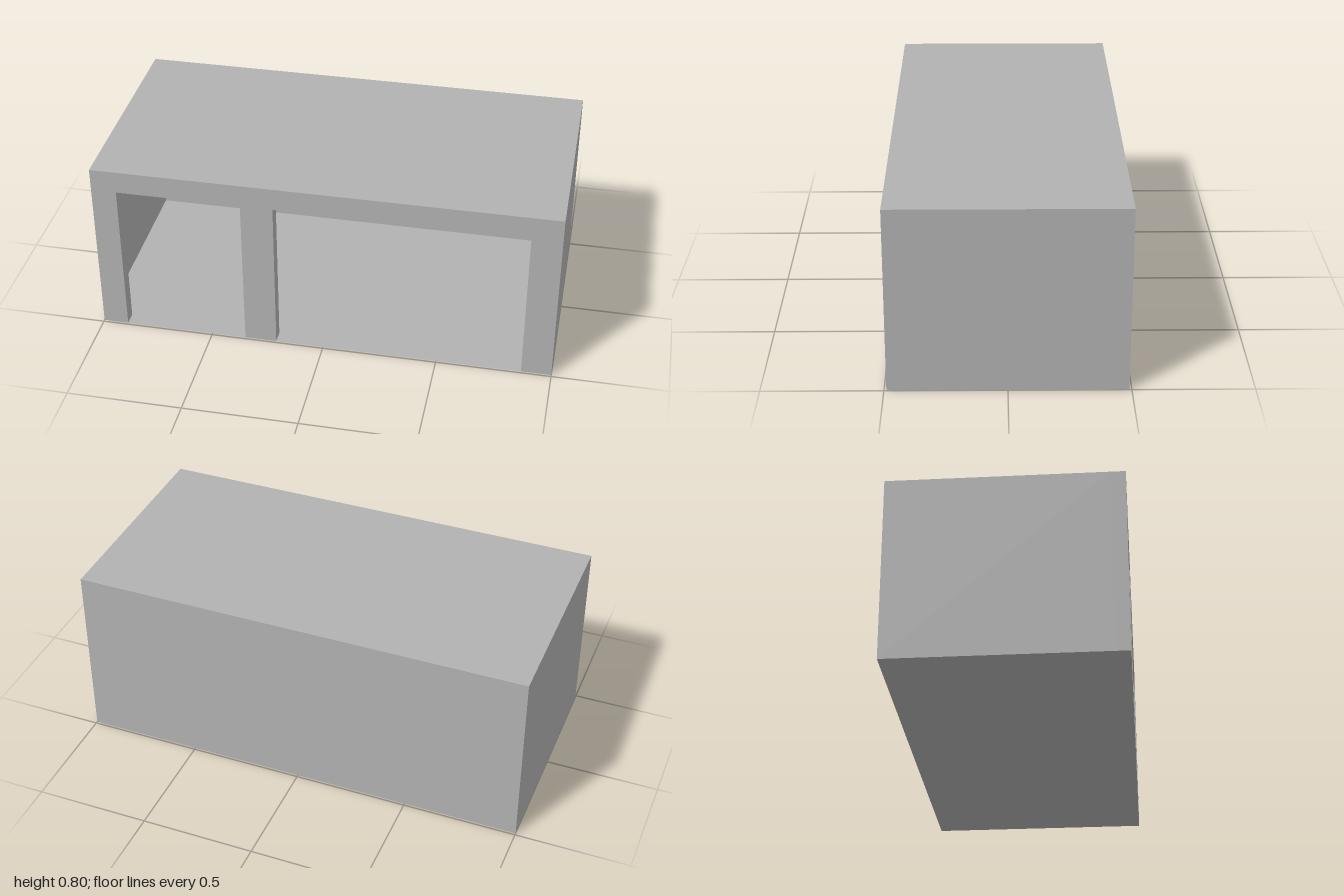
import * as THREE from 'three';

const H = 0.8, Z = 0.49, FRONT = 0.06; // height, half depth, front wall thickness

export function createModel() {
  const model = new THREE.Group();
  model.name = 'garage';
  const grey = new THREE.MeshStandardMaterial({ color: 0xb2b2b2, side: THREE.DoubleSide });
  grey.name = 'concrete grey';

  // Thin flat panel, turned and placed
  const panel = (name, w, h, rotation, position) => {
    const mesh = new THREE.Mesh(new THREE.PlaneGeometry(w, h), grey);
    mesh.name = name;
    mesh.rotation.set(...rotation);
    mesh.position.set(...position);
    model.add(mesh);
  };

  // Shell: floor, back and the parts that run up to the front wall
  const depth = 2 * Z - FRONT, q = Math.PI / 2;
  panel('floor', 2, 2 * Z, [q, 0, 0], [0, 0, 0]);
  panel('roof', 2, depth, [-q, 0, 0], [0, H, -FRONT / 2]);
  panel('backWall', 2, H, [0, Math.PI, 0], [0, H / 2, -Z]);
  panel('leftWall', depth, H, [0, q, 0], [1, H / 2, -FRONT / 2]);
  panel('rightWall', depth, H, [0, -q, 0], [-1, H / 2, -FRONT / 2]);

  // Front wall: one outline that steps around both door openings
  const outline = [[-1, 0]];
  for (const [x0, x1] of [[-0.89, -0.35], [-0.21, 0.87]]) {
    outline.push([x0, 0], [x0, 0.7], [x1, 0.7], [x1, 0]);
  }
  outline.push([1, 0], [1, H], [-1, H]);
  const shape = new THREE.Shape(outline.map(([x, y]) => new THREE.Vector2(x, y)));
  const frontWall = new THREE.Mesh(
    new THREE.ExtrudeGeometry(shape, { depth: FRONT, bevelEnabled: false }), grey);
  frontWall.name = 'frontWall';
  frontWall.position.z = Z - FRONT;
  model.add(frontWall);

  return model;
}
